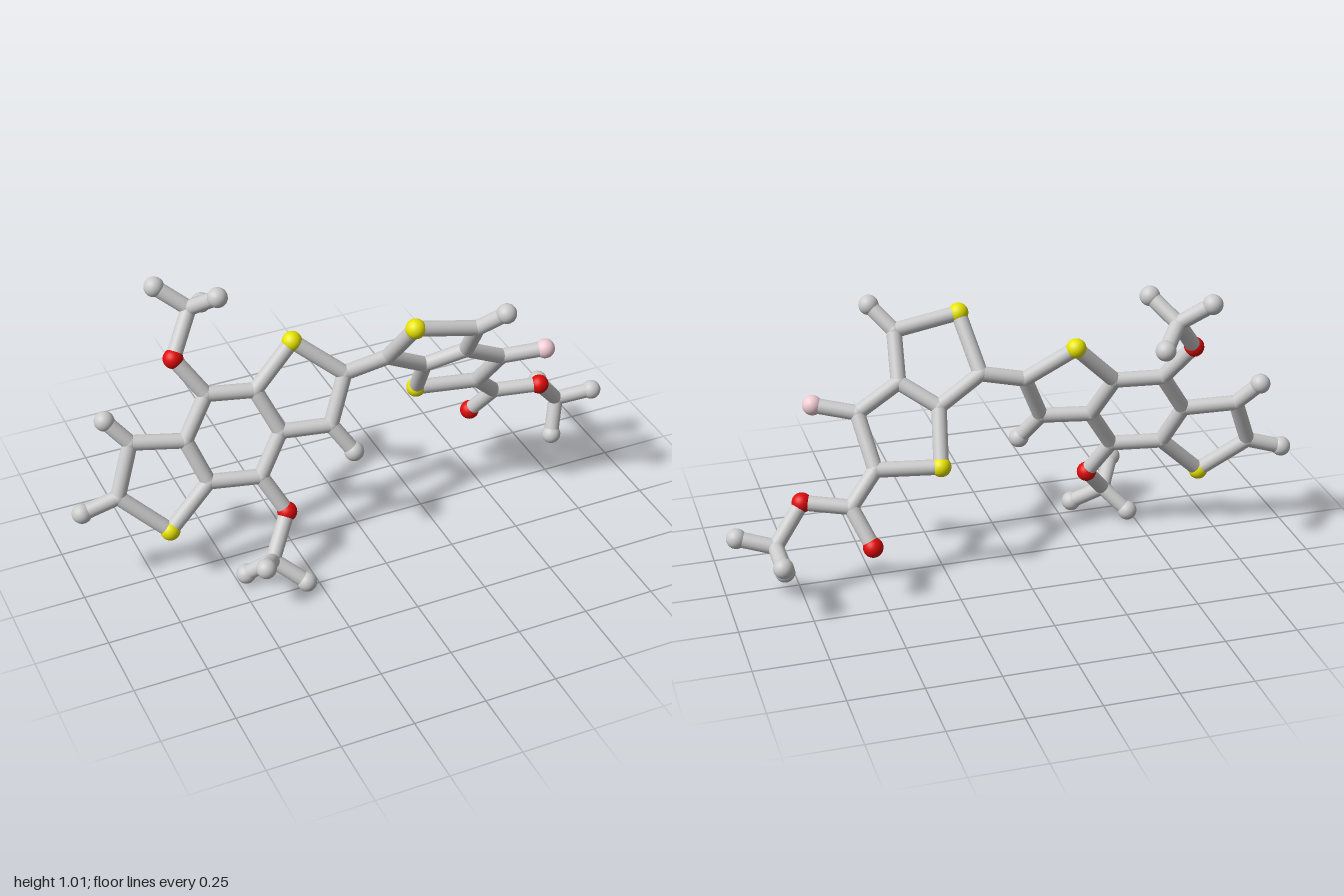
import * as THREE from 'three';

const BALL = 0.034, STICK = 0.026;

export function createModel() {
  const model = new THREE.Group();
  const grey = new THREE.MeshStandardMaterial({ color: 0xcccccc });
  const yellow = new THREE.MeshStandardMaterial({ color: 0xe8e400 });
  const red = new THREE.MeshStandardMaterial({ color: 0xe00a0a });
  const pink = new THREE.MeshStandardMaterial({ color: 0xf0ccd4 });
  const ballGeo = new THREE.SphereGeometry(1, 28, 18);
  const stickGeo = new THREE.CylinderGeometry(STICK, STICK, 1, 24);
  const atoms = {};

  const atom = (key, name, material, radius, x, y, z) => {
    const ball = new THREE.Mesh(ballGeo, material);
    ball.name = name;
    ball.scale.setScalar(radius);
    ball.position.set(x, y, z);
    atoms[key] = ball.position;
    model.add(ball);
  };
  const bond = (a, b) => {
    const p = atoms[a], q = atoms[b], d = q.clone().sub(p);
    const stick = new THREE.Mesh(stickGeo, grey);
    stick.name = 'bond';
    stick.position.copy(p).add(q).multiplyScalar(0.5);
    stick.scale.y = d.length();
    stick.quaternion.setFromUnitVectors(new THREE.Vector3(0, 1, 0), d.normalize());
    model.add(stick);
  };
  // a chain such as 'a b c' bonds neighbours in order
  const chain = (text) => {
    const keys = text.split(' ');
    for (let i = 1; i < keys.length; i++) bond(keys[i - 1], keys[i]);
  };
  const joint = (key, x, y, z) => atom(key, 'carbonJoint', grey, STICK + 0.001, x, y, z);
  const tip = (key, x, y, z) => atom(key, 'endAtom', grey, BALL, x, y, z);
  const sulfur = (key, x, y, z) => atom(key, 'sulfurAtom', yellow, BALL, x, y, z);
  const oxygen = (key, x, y, z) => atom(key, 'oxygenAtom', red, BALL, x, y, z);

  // each fused ring system is flat: depth follows from x and y
  const planeA = (x, y) => 0.258 + 0.203 * x - 0.352 * y;
  const planeB = (x, y) => -0.456 + 0.209 * x + 0.672 * y;
  const onPlane = (plane, make, list) =>
    list.forEach(([key, x, y]) => make(key, x, y, plane(x, y)));

  // three-ring system
  onPlane(planeA, joint, [
    ['a1', -0.777, 0.523], ['a2', -0.846, 0.352], ['a3', -0.6, 0.507], ['a4', -0.547, 0.363],
    ['a5', -0.51, 0.648], ['a6', -0.35, 0.641], ['a7', -0.288, 0.497], ['a8', -0.375, 0.358],
    ['a9', -0.05, 0.66], ['a10', -0.12, 0.497],
  ]);
  onPlane(planeA, sulfur, [['s1', -0.697, 0.22], ['s2', -0.206, 0.783]]);
  onPlane(planeA, oxygen, [['o1', -0.595, 0.774], ['o2', -0.307, 0.23]]);
  onPlane(planeA, tip, [['h1', -0.846, 0.603], ['h2', -0.969, 0.315], ['h3', -0.056, 0.4]]);
  chain('s1 a2 a1 a3 a4 s1');
  chain('a3 a5 a6 a7 a8 a4');
  chain('a6 s2 a9 a10 a7');
  chain('a1 h1');
  chain('a2 h2');
  chain('a10 h3');
  chain('a5 o1');
  chain('a8 o2');

  // two-ring system
  onPlane(planeB, joint, [
    ['b1', 0.1, 0.692], ['b2', 0.36, 0.822], ['b3', 0.371, 0.675], ['b4', 0.252, 0.603],
    ['b5', 0.52, 0.593], ['b6', 0.489, 0.432], ['b7', 0.585, 0.331],
  ]);
  onPlane(planeB, sulfur, [['s3', 0.141, 0.867], ['s4', 0.275, 0.434]]);
  onPlane(planeB, tip, [['h4', 0.43, 0.897]]);
  atom('f', 'fluorineAtom', pink, BALL, 0.66, 0.617, 0.102);
  chain('a9 b1 s3 b2 b3 b4 b1');
  chain('b4 s4 b6 b5 b3');
  chain('b2 h4');
  chain('b5 f');

  // side group with two oxygens
  oxygen('o3', 0.531, 0.212, -0.188);
  oxygen('o4', 0.739, 0.345, -0.06);
  chain('b6 b7 o3');
  chain('b7 o4');

  // three-pronged end groups: centre, then prongs
  const endGroup = (root, centre, prongs) => {
    joint(root + 'c', ...centre);
    chain(`${root} ${root}c`);
    prongs.forEach((p, i) => {
      tip(root + i, ...p);
      chain(`${root}c ${root}${i}`);
    });
  };
  endGroup('o1', [-0.505, 0.9, -0.214],
    [[-0.602, 0.976, -0.268], [-0.435, 0.972, -0.128], [-0.43, 0.849, -0.307]]);
  endGroup('o2', [-0.397, 0.112, 0.2],
    [[-0.302, 0.038, 0.268], [-0.473, 0.037, 0.144], [-0.462, 0.178, 0.308]]);
  endGroup('o4', [0.842, 0.222, -0.112],
    [[0.964, 0.251, -0.072], [0.808, 0.099, -0.071], [0.842, 0.215, -0.25]]);

  return model;
}
